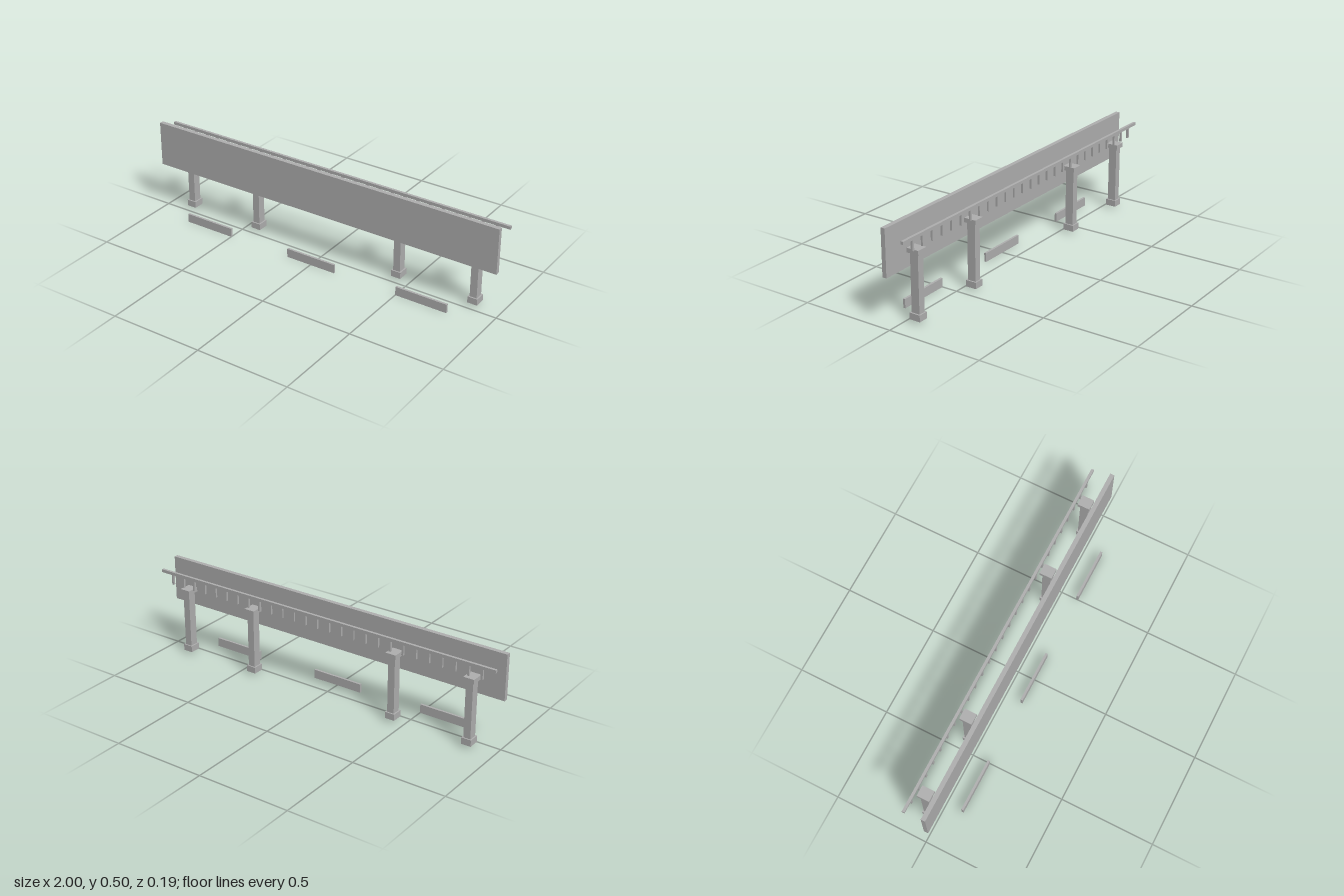
import * as THREE from 'three';

export function createModel() {
  const model = new THREE.Group();
  model.name = 'colonnadeFacade';
  const stone = new THREE.MeshStandardMaterial({ color: 0xb0b0b0 });
  stone.name = 'stoneGrey';

  // Box given by its centre x, width, and y and z ranges
  function block(parent, name, x, width, y0, y1, z0, z1) {
    const mesh = new THREE.Mesh(new THREE.BoxGeometry(width, y1 - y0, z1 - z0), stone);
    mesh.name = name;
    mesh.position.set(x, (y0 + y1) / 2, (z0 + z1) / 2);
    parent.add(mesh);
  }

  // Long fascia panel
  block(model, 'fasciaPanel', 0, 2, 0.255, 0.496, 0.007, 0.03);

  // Balustrade behind the panel
  const pitch = 1 / 14;
  const balustrade = new THREE.Group();
  balustrade.name = 'balustrade';
  block(balustrade, 'handrail', 0, 2, 0.442, 0.458, -0.096, -0.082);
  for (let i = -13; i <= 13; i++) {
    block(balustrade, 'baluster', i * pitch, 0.011, 0.388, 0.442, -0.0945, -0.0835);
  }
  model.add(balustrade);

  // Columns with base and capital
  for (const i of [-12, -6, 6, 12]) {
    const column = new THREE.Group();
    column.name = 'column';
    column.position.x = i * pitch;
    block(column, 'columnBase', 0, 0.053, 0.015, 0.049, -0.082, -0.023);
    block(column, 'columnShaft', 0, 0.038, 0.049, 0.348, -0.075, -0.03);
    block(column, 'columnCapital', 0, 0.058, 0.348, 0.371, -0.086, -0.02);
    model.add(column);
  }

  // Low kerbs in front
  for (const x of [-0.642, 0, 0.642]) {
    block(model, 'kerb', x, 0.284, 0, 0.047, 0.084, 0.096);
  }

  return model;
}
